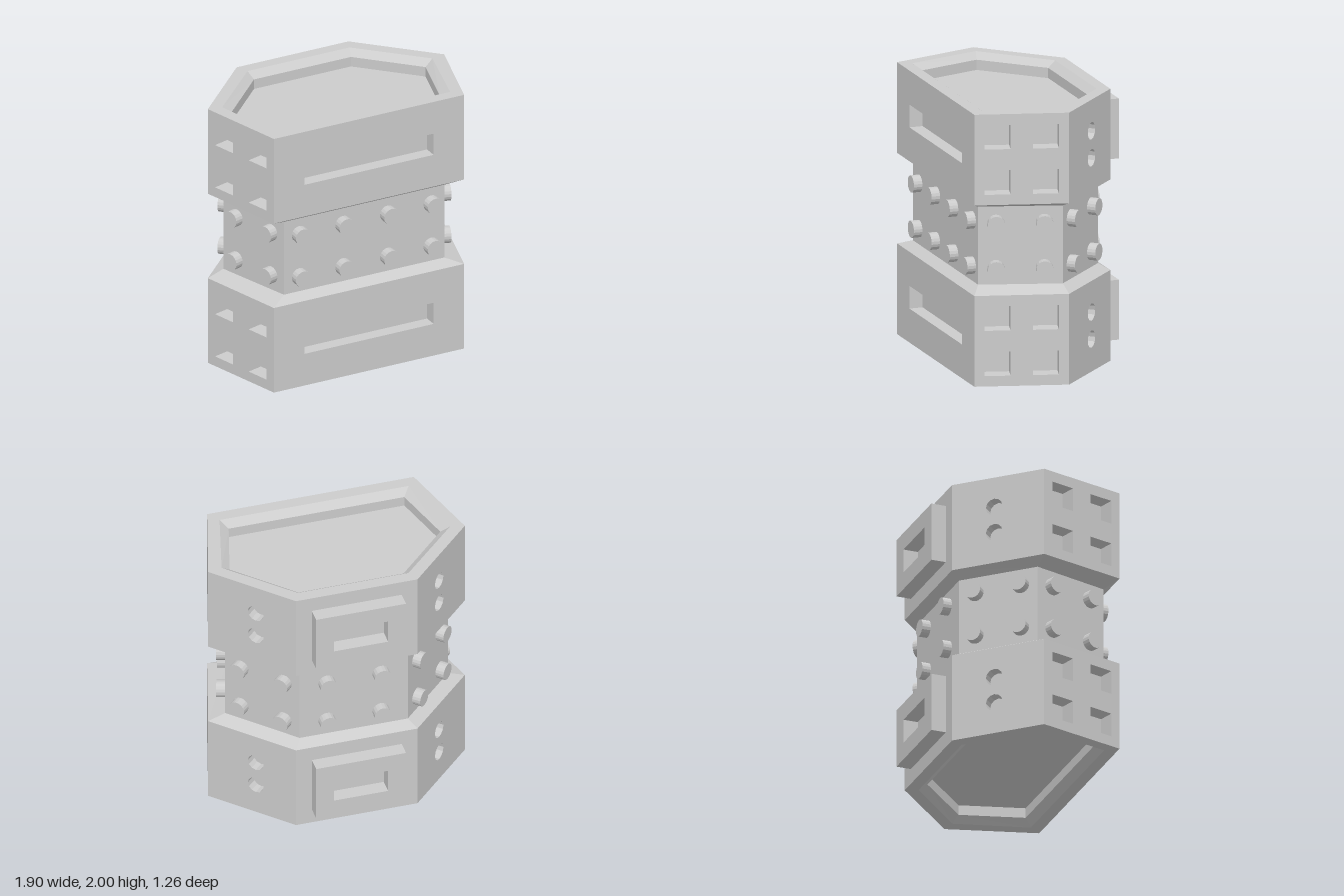
import * as THREE from 'three';

const material = new THREE.MeshStandardMaterial({ color: 0xcccccc, flatShading: true });

// Six-sided outlines as [x, z], from front right round the back to front left
const outline = (half) => [...half, ...half.map(([x, z]) => [-x, z]).reverse()];
const OUTER = outline([[0.765, 0.63], [0.95, -0.02], [0.45, -0.525]]);
const WAIST = outline([[0.645, 0.555], [0.825, -0.02], [0.4, -0.45]]);
const RIM = outline([[0.7, 0.54], [0.845, 0], [0.41, -0.435]]);
const FLOOR = outline([[0.65, 0.48], [0.78, 0.02], [0.39, -0.375]]);

const BLOCK_H = 0.667;
const UPPER_Y = 2 - BLOCK_H;

function add(parent, name, geometry, x = 0, y = 0, z = 0) {
  const mesh = new THREE.Mesh(geometry, material);
  mesh.name = name;
  mesh.position.set(x, y, z);
  parent.add(mesh);
  return mesh;
}

// Skin between successive outlines, listed so the outside faces out
function loft(rings) {
  const pos = [];
  for (let r = 0; r < rings.length - 1; r++) {
    const [a, ya] = rings[r], [b, yb] = rings[r + 1];
    a.forEach((p, i) => {
      const j = (i + 1) % a.length;
      const A = [p[0], ya, p[1]], B = [b[i][0], yb, b[i][1]];
      const C = [b[j][0], yb, b[j][1]], D = [a[j][0], ya, a[j][1]];
      pos.push(...A, ...B, ...C, ...A, ...C, ...D);
    });
  }
  const g = new THREE.BufferGeometry();
  g.setAttribute('position', new THREE.Float32BufferAttribute(pos, 3));
  g.computeVertexNormals();
  return g;
}

const toShape = (pts) => new THREE.Shape(pts.map(([x, y]) => new THREE.Vector2(x, y)));

// Counter-clockwise hole outlines
const rect = (x, y, w, h) =>
  [[-1, -1], [1, -1], [1, 1], [-1, 1]].map(([sx, sy]) => [x + sx * w / 2, y + sy * h / 2]);
const disc = (x, y, r, n = 12) => Array.from({ length: n }, (_, i) => {
  const t = (i / n) * Math.PI * 2;
  return [x + r * Math.cos(t), y + r * Math.sin(t)];
});

// Group on the side between corners a and b: local x along it, z outward
function sideFrame(parent, name, a, b, y) {
  const g = new THREE.Group();
  g.name = name;
  g.position.set((a[0] + b[0]) / 2, y, (a[1] + b[1]) / 2);
  g.rotation.y = Math.atan2(a[1] - b[1], b[0] - a[0]);
  parent.add(g);
  return g;
}

// Flat wall with sunken pockets
function wall(frame, width, pockets, depth) {
  const shape = toShape(rect(0, BLOCK_H / 2, width, BLOCK_H));
  shape.holes = pockets.map(toShape);
  add(frame, 'wall', new THREE.ShapeGeometry(shape));
  for (const p of pockets) {
    const pos = [];
    p.forEach(([x, y], i) => {
      const [u, v] = p[(i + 1) % p.length];
      pos.push(x, y, 0, u, v, 0, u, v, -depth, x, y, 0, u, v, -depth, x, y, -depth);
    });
    const g = new THREE.BufferGeometry();
    g.setAttribute('position', new THREE.Float32BufferAttribute(pos, 3));
    g.computeVertexNormals();
    add(frame, 'pocketSides', g);
    add(frame, 'pocketFloor', new THREE.ShapeGeometry(toShape(p)), 0, 0, -depth);
  }
}

function createBlock(name, y) {
  const block = new THREE.Group();
  block.name = name;
  const windows = [-0.172, 0.172].flatMap((x) => [0.165, 0.498].map((h) => rect(x, h, 0.185, 0.178)));
  const ports = (x) => [0.24, 0.438].map((h) => disc(x, h, 0.064));
  const sides = [
    ['rightAngleWindows', windows, 0.12],
    ['backCornerPorts', ports(0.03), 0.08],
    ['back', [], 0],
    ['backCornerPorts', ports(-0.03), 0.08],
    ['sideWindows', windows, 0.12],
    ['frontSlot', [rect(0, 0.333, 1.04, 0.167)], 0.1],
  ];
  sides[0][0] = 'sideWindows';
  sides.forEach(([label, pockets, depth], i) => {
    const a = OUTER[i], b = OUTER[(i + 1) % 6];
    const frame = sideFrame(block, label, a, b, y);
    wall(frame, Math.hypot(b[0] - a[0], b[1] - a[1]), pockets, depth);
    if (label === 'back') {
      // Raised back plate with a slot through it
      const plate = toShape(rect(0, 0.335, 0.665, 0.44));
      plate.holes = [toShape(rect(0, 0.335, 0.4, 0.18))];
      add(frame, 'backPlate', new THREE.ExtrudeGeometry(plate, { depth: 0.11, bevelEnabled: false }));
    }
  });
  return block;
}

export function createModel() {
  const model = new THREE.Group();
  model.name = 'container';
  model.add(createBlock('upperBlock', UPPER_Y), createBlock('lowerBlock', 0));

  // Stepped recesses at top and bottom, and the narrow waist
  add(model, 'topRim', loft([[FLOOR, 1.88], [FLOOR, 1.955], [RIM, 2], [OUTER, 2]]));
  add(model, 'waist', loft([[OUTER, UPPER_Y], [WAIST, 1.287], [WAIST, 0.713], [OUTER, BLOCK_H]]));
  add(model, 'bottomRim', loft([[OUTER, 0], [RIM, 0], [FLOOR, 0.045], [FLOOR, 0.12]]));
  const topFloor = new THREE.ShapeGeometry(toShape(FLOOR.map(([x, z]) => [x, -z])));
  add(model, 'topFloor', topFloor.rotateX(-Math.PI / 2), 0, 1.88);
  const bottomFloor = new THREE.ShapeGeometry(toShape(FLOOR));
  add(model, 'bottomFloor', bottomFloor.rotateX(Math.PI / 2), 0, 0.12);

  // Two rows of studs around the waist
  const stud = new THREE.CylinderGeometry(0.062, 0.062, 0.085, 18).rotateX(Math.PI / 2);
  const studX = [
    [-0.175, 0.17], [-0.175, 0.175], [-0.2, 0.2], [-0.175, 0.175], [-0.17, 0.175],
    [-0.52, -0.17, 0.19, 0.54],
  ];
  studX.forEach((xs, i) => {
    const frame = sideFrame(model, 'waistStuds', WAIST[i], WAIST[(i + 1) % 6], 0);
    for (const x of xs) for (const y of [0.832, 1.165]) add(frame, 'stud', stud, x, y, 0.022);
  });
  return model;
}
